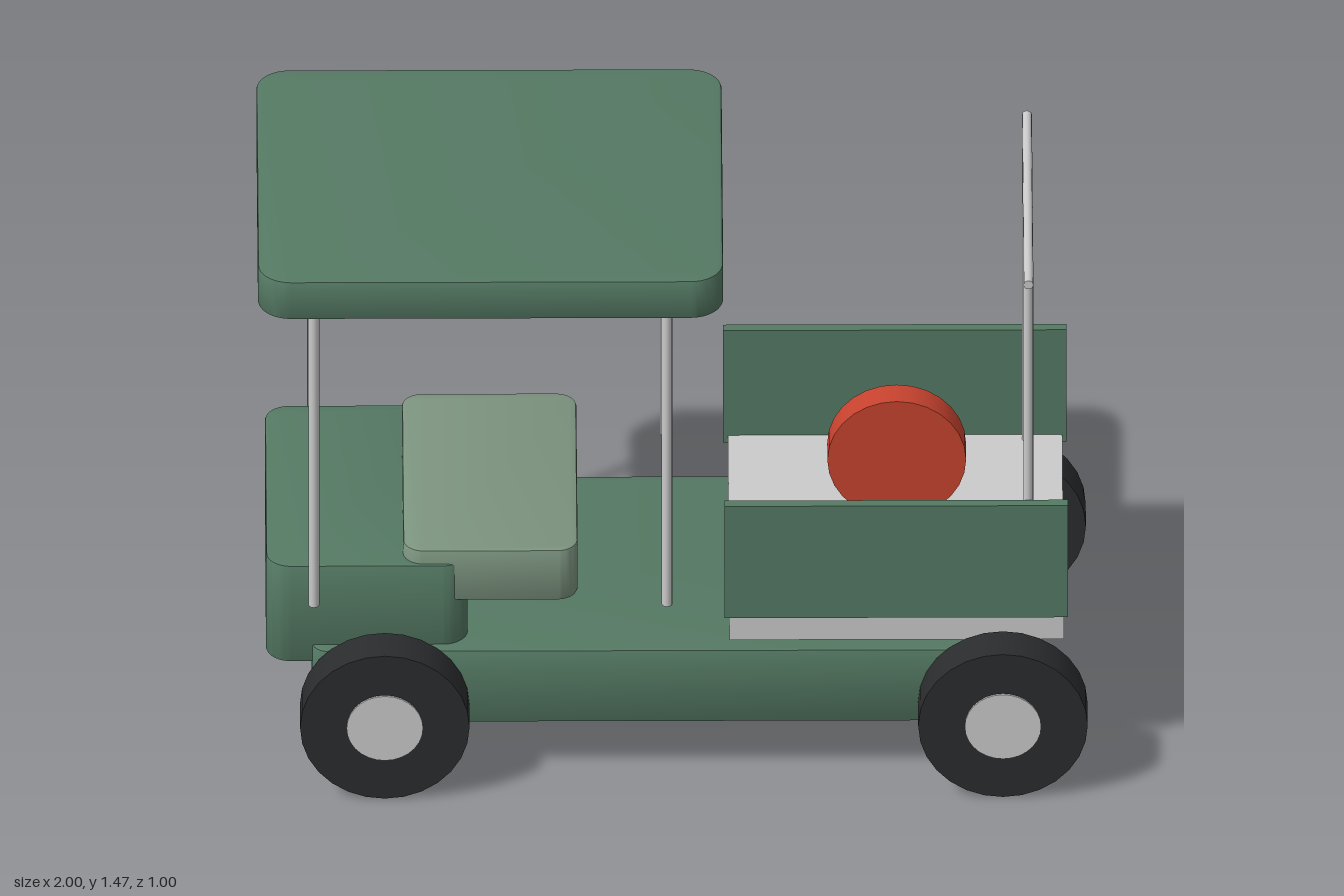
import * as THREE from 'three';
import { toCreasedNormals } from 'three/addons/utils/BufferGeometryUtils.js';

const mat = (color) => new THREE.MeshStandardMaterial({ color });
const green = mat(0x557a64), sage = mat(0x7d9580), dark = mat(0x2b2c2e), red = mat(0xc8432f), grey = mat(0xcccccc);

export function createModel() {
  const group = new THREE.Group();
  const add = (name, geometry, material, x, y, z) => {
    const mesh = new THREE.Mesh(geometry, material);
    mesh.name = name;
    mesh.position.set(x, y, z);
    group.add(mesh);
    return mesh;
  };

  // Box between two x and two y values, centred on z
  const box = (name, material, x0, x1, y0, y1, depth, z = 0) =>
    add(name, new THREE.BoxGeometry(x1 - x0, y1 - y0, depth), material, (x0 + x1) / 2, (y0 + y1) / 2, z);

  // Slab with rounded corners in plan and a fine bevel
  const slab = (name, material, x0, x1, y0, y1, depth, radius) => {
    const b = 0.006, w = (x1 - x0) / 2 - b, d = depth / 2 - b, r = radius - b;
    const s = new THREE.Shape();
    s.absarc(w - r, d - r, r, 0, Math.PI / 2);
    s.absarc(r - w, d - r, r, Math.PI / 2, Math.PI);
    s.absarc(r - w, r - d, r, Math.PI, Math.PI * 1.5);
    s.absarc(w - r, r - d, r, Math.PI * 1.5, Math.PI * 2);
    s.closePath();
    const geo = new THREE.ExtrudeGeometry(s, {
      depth: y1 - y0 - 2 * b, curveSegments: 6,
      bevelEnabled: true, bevelSize: b, bevelThickness: b, bevelSegments: 2,
    });
    geo.rotateX(-Math.PI / 2);
    return add(name, toCreasedNormals(geo, 0.6), material, (x0 + x1) / 2, y0 + b, 0);
  };

  // Upright round bar
  const bar = (name, x, z, y0, y1, r) =>
    add(name, new THREE.CylinderGeometry(r, r, y1 - y0, 12), grey, x, (y0 + y1) / 2, z);

  // Disc with its axis along z
  const disc = (name, material, r, thickness, x, y, z) =>
    add(name, new THREE.CylinderGeometry(r, r, thickness, 28).rotateX(Math.PI / 2), material, x, y, z);

  // Body
  slab('chassis', green, -0.87, 0.87, 0.15, 0.355, 0.775, 0.04);
  slab('frontCowl', green, -0.98, -0.495, 0.305, 0.58, 0.715, 0.06);
  slab('seat', sage, -0.65, -0.23, 0.475, 0.618, 0.7, 0.05);
  slab('roof', green, -1, 0.12, 1.36, 1.467, 0.945, 0.08);

  // Cargo bed
  box('cargoBed', grey, 0.135, 0.94, 0.378, 0.477, 0.755);

  for (const side of [-1, 1]) {
    box('sidePanel', green, 0.123, 0.95, 0.457, 0.777, 0.026, side * 0.39);
    for (const x of [-0.865, -0.015]) bar('roofPost', x, side * 0.378, 0.482, 1.31, 0.013);
    bar('rackPost', 0.855, side * 0.358, 0.477, 1.395, 0.012);
    for (const x of [-0.695, 0.793]) {
      disc('tyre', dark, 0.204, 0.103, x, 0.205, side * 0.442);
      disc('hub', grey, 0.092, 0.113, x, 0.205, side * 0.442);
    }
  }

  // Rear rack
  add('rackTopBar', new THREE.CylinderGeometry(0.012, 0.012, 0.755, 12).rotateX(Math.PI / 2), grey, 0.855, 1.393, 0);
  for (const z of [0.055, 0.17, 0.285]) bar('rackRod', 0.855, z, 0.675, 1.345, 0.008);

  // Round red case against the side panel
  disc('redDrum', red, 0.167, 0.075, 0.538, 0.88, 0.32);

  return group;
}
